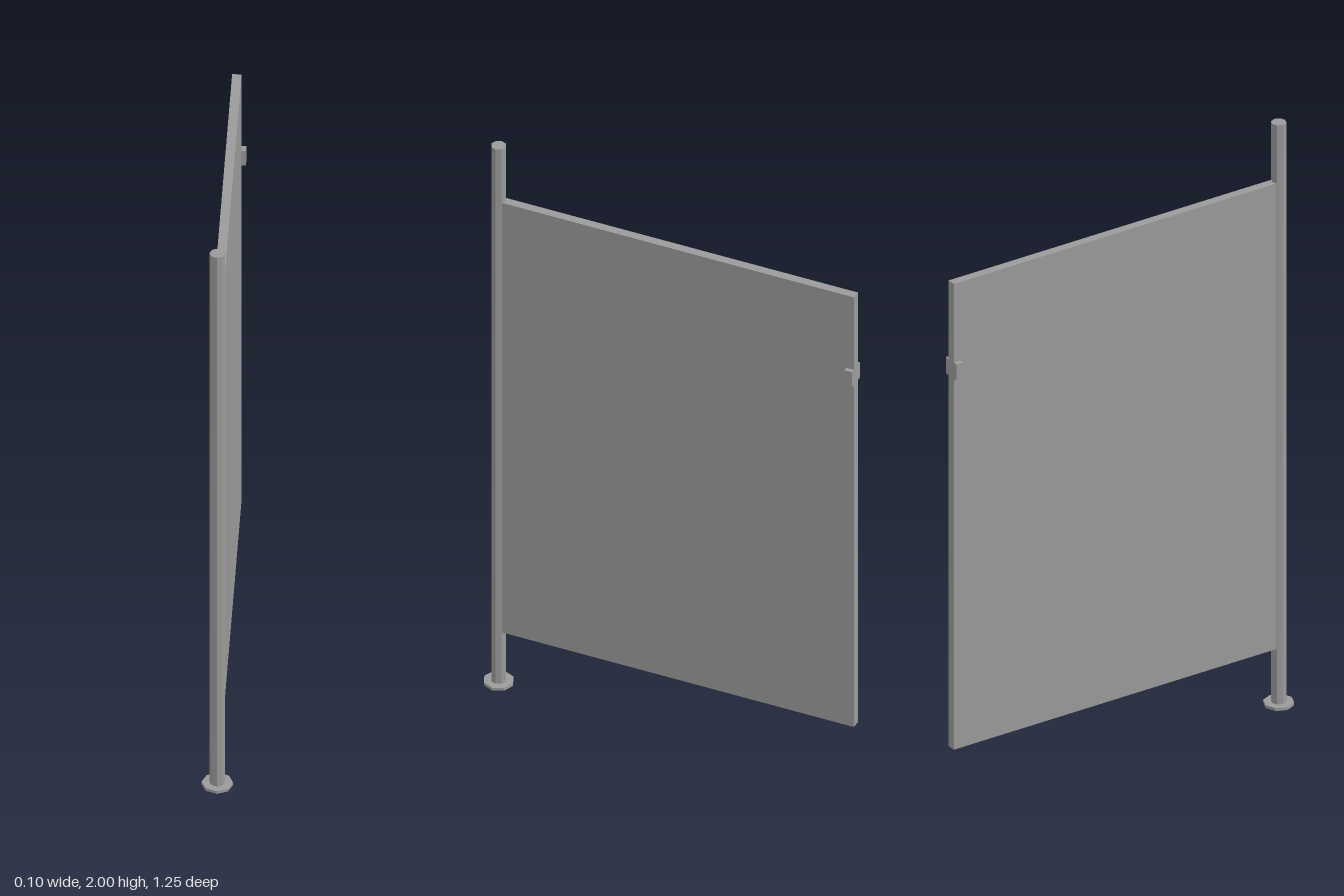
import * as THREE from 'three';

const POST_Z = 0.575;
const BACK_Z = -0.623;

export function createModel() {
  const group = new THREE.Group();
  group.name = 'partitionScreen';
  const grey = new THREE.MeshStandardMaterial({ color: 0x9a9a9a, flatShading: true });
  grey.name = 'grey';

  const add = (name, geometry, x, y, z) => {
    const mesh = new THREE.Mesh(geometry, grey);
    mesh.name = name;
    mesh.position.set(x, y, z);
    group.add(mesh);
  };

  // Round post standing on a thin octagonal foot
  add('post', new THREE.CylinderGeometry(0.024, 0.024, 1.99, 8), 0, 1.005, POST_Z);
  add('foot', new THREE.CylinderGeometry(0.048, 0.048, 0.01, 8), 0, 0.005, POST_Z);

  // Flat panel running from the post to the back edge
  const length = POST_Z - BACK_Z;
  add('panel', new THREE.BoxGeometry(0.029, 1.6, length), 0, 1.0, BACK_Z + length / 2);

  // Small latch clip around the back edge
  add('latch', new THREE.BoxGeometry(0.058, 0.055, 0.026), 0, 1.503, BACK_Z + 0.0125);

  return group;
}
